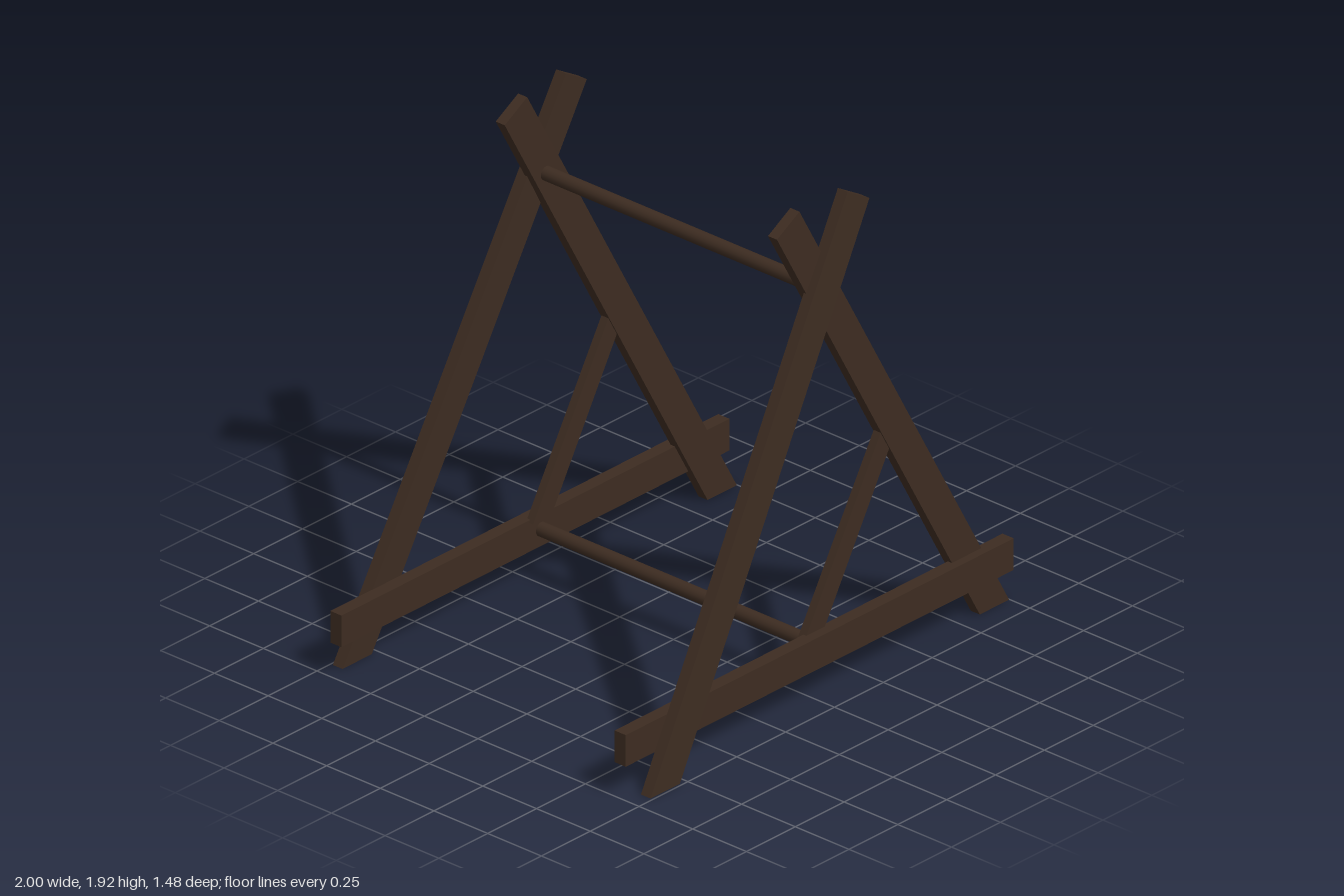
import * as THREE from 'three';

export function createModel() {
  const model = new THREE.Group();
  model.name = 'timberStand';
  const wood = new THREE.MeshStandardMaterial({ color: 0x3d2c21 });
  wood.name = 'darkWood';

  // Plank with a front outline, lying between z and z + depth on the given
  // side (+1 front, -1 back) and leaning inward with height by lean.
  function plank(parent, name, points, z, depth, side, lean = 0) {
    const shape = new THREE.Shape(points.map(([x, y]) => new THREE.Vector2(x, y)));
    const geo = new THREE.ExtrudeGeometry(shape, { depth, bevelEnabled: false });
    geo.translate(0, 0, side > 0 ? z : -z - depth);
    const pos = geo.attributes.position;
    for (let i = 0; i < pos.count; i++) {
      pos.setZ(i, pos.getZ(i) - side * lean * pos.getY(i));
    }
    geo.computeVertexNormals();
    const mesh = new THREE.Mesh(geo, wood);
    mesh.name = name;
    parent.add(mesh);
  }

  // Two mirrored A-frames
  for (const side of [1, -1]) {
    const frame = new THREE.Group();
    frame.name = side > 0 ? 'frontFrame' : 'backFrame';
    plank(frame, 'outerLeg', [[-0.93, 0], [-0.78, 0], [0.255, 1.855], [0.145, 1.92]], 0.695, 0.045, side, 0.032);
    plank(frame, 'innerLeg', [[0.848, 0], [0.998, 0], [-0.075, 1.92], [-0.19, 1.855]], 0.613, 0.042, side);
    plank(frame, 'crossbar', [[-1, 0.132], [0.985, 0.132], [0.985, 0.255], [-1, 0.255]], 0.636, 0.052, side);
    plank(frame, 'brace', [[-0.04, 0.245], [0.055, 0.245], [0.395, 0.83], [0.35, 0.905]], 0.618, 0.032, side);
    model.add(frame);
  }

  // Round rods joining the frames
  for (const [name, y] of [['topRod', 1.588], ['bottomRod', 0.198]]) {
    const rod = new THREE.Mesh(new THREE.CylinderGeometry(0.027, 0.027, 1.28, 16), wood);
    rod.name = name;
    rod.rotation.x = Math.PI / 2;
    rod.position.set(0.022, y, 0);
    model.add(rod);
  }
  return model;
}
